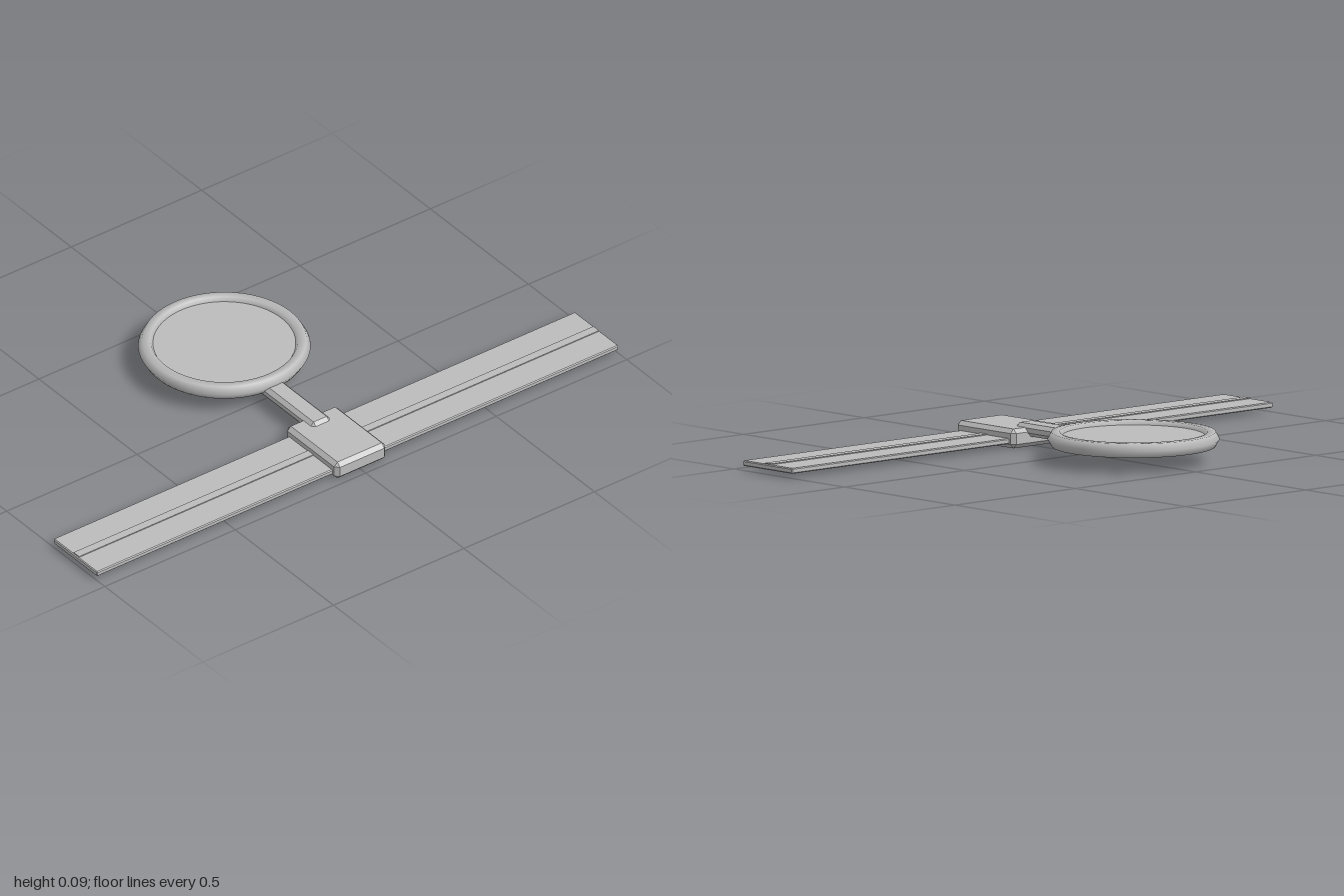
import * as THREE from 'three';
import { ConvexGeometry } from 'three/addons/geometries/ConvexGeometry.js';

const grey = new THREE.MeshStandardMaterial({ color: 0xbcbcbc });
grey.name = 'plain grey';

// Box with every edge chamfered by c, given as [min, max] on each axis
function chamferBox(x, y, z, c) {
  const points = [];
  for (const i of [0, 1]) for (const j of [0, 1]) for (const k of [0, 1]) {
    const p = [x[i], y[j], z[k]];
    const inset = [i ? -c : c, j ? -c : c, k ? -c : c];
    for (let axis = 0; axis < 3; axis++) {
      points.push(new THREE.Vector3(...p.map((v, a) => (a === axis ? v : v + inset[a]))));
    }
  }
  return new ConvexGeometry(points);
}

export function createModel() {
  const model = new THREE.Group();
  const add = (name, geometry) => {
    const mesh = new THREE.Mesh(geometry, grey);
    mesh.name = name;
    model.add(mesh);
    return mesh;
  };

  // Long flat band with a thin raised rib along its middle
  add('band', chamferBox([-1, 1], [0.014, 0.031], [0.237, 0.46], 0.003));
  add('bandRib', new THREE.BoxGeometry(1.992, 0.006, 0.028)).position.set(0, 0.031, 0.35);

  // Chamfered clasp and the arm leading back from it
  add('clasp', chamferBox([-0.098, 0.098], [0, 0.06], [0.218, 0.482], 0.013));
  add('arm', chamferBox([-0.037, 0.037], [0.032, 0.071], [-0.05, 0.28], 0.012));

  // Round plate in a six-sided rim
  const rim = add('rim', new THREE.TorusGeometry(0.239, 0.0254, 6, 64).rotateX(Math.PI / 2));
  rim.position.set(0, 0.072, -0.22);
  const plate = add('roundPlate', new THREE.CylinderGeometry(0.224, 0.224, 0.017, 64));
  plate.position.set(0, 0.0725, -0.22);

  return model;
}
